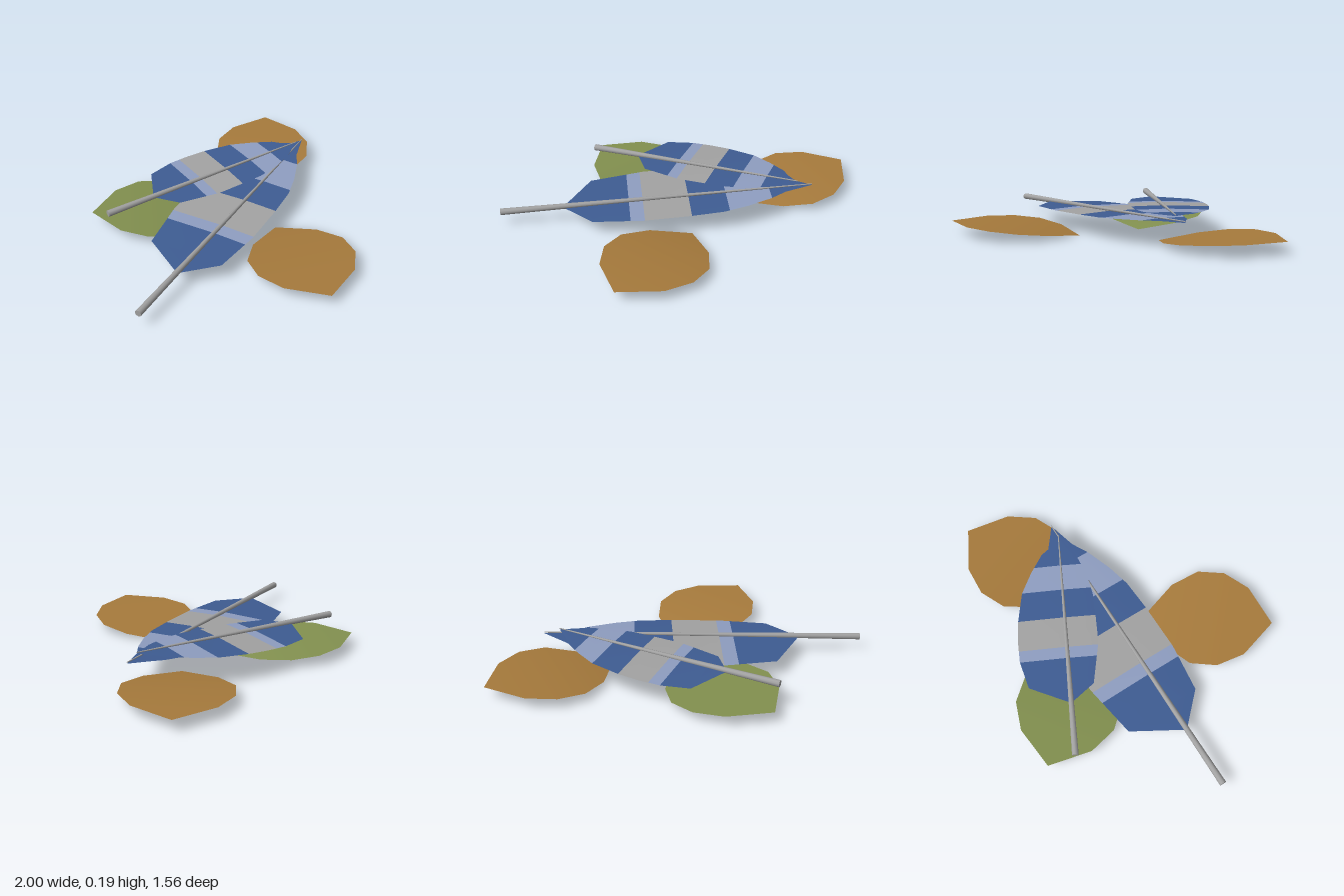
import * as THREE from 'three';

const paint = (name, color) => {
  const m = new THREE.MeshStandardMaterial({ color, side: THREE.DoubleSide });
  m.name = name;
  return m;
};

// Linear lookup in a list of [position, value] pairs
function lookup(table, s) {
  for (let i = 1; i < table.length; i++) {
    const [s0, w0] = table[i - 1], [s1, w1] = table[i];
    if (s <= s1) return w0 + (w1 - w0) * Math.max(0, (s - s0) / (s1 - s0));
  }
  return 0;
}

// Thin blade along an axis on the ground plan: one [left edge, middle, right edge] row per station
function blade(start, end, stations, leftEdge, rightEdge, height) {
  const dir = new THREE.Vector2(end[0] - start[0], end[1] - start[1]).normalize();
  const pos = [], index = [];
  stations.forEach((s, i) => {
    for (const e of [-lookup(leftEdge, s), 0, lookup(rightEdge, s)]) {
      pos.push(start[0] + dir.x * s - dir.y * e, height(s, e), start[1] + dir.y * s + dir.x * e);
    }
    if (i === 0) return;
    for (let j = 0; j < 2; j++) {
      const a = (i - 1) * 3 + j, c = i * 3 + j;
      index.push(a, a + 1, c, a + 1, c + 1, c);
    }
  });
  const g = new THREE.BufferGeometry();
  g.setAttribute('position', new THREE.Float32BufferAttribute(pos, 3));
  g.setIndex(index);
  g.computeVertexNormals();
  return g;
}

export function createModel() {
  const model = new THREE.Group();
  model.name = 'feathersAndLeaves';
  const brown = paint('leafBrown', 0xa67a3c);
  const green = paint('leafGreen', 0x82904f);
  const blue = paint('featherBlue', 0x3e5c92);
  const light = paint('featherLightBlue', 0x8e9dc0);
  const grey = paint('featherGrey', 0xa2a2a2);

  const add = (parent, name, geometry, material) => {
    const mesh = new THREE.Mesh(geometry, material);
    mesh.name = name;
    parent.add(mesh);
    return mesh;
  };

  // Leaves: the same outline, rising from the stem and flattening towards the tip
  const leafEdge = [[0, 0], [0.14, 0.195], [0.285, 0.287], [0.44, 0.287], [0.587, 0.206], [0.735, 0]];
  const leafHeight = (s) => 0.067 * (1 - Math.pow(Math.max(0, 1 - s / 0.735), 2.5));
  const leaves = [
    ['frontLeaf', [0.095, 0.135], [-0.275, 0.77], brown],
    ['leftLeaf', [0.39, -0.21], [0.997, -0.625], brown],
    ['backLeaf', [0.04, -0.25], [-0.52, -0.73], green],
  ];
  for (const [name, stem, tip, material] of leaves) {
    add(model, name, blade(stem, tip, leafEdge.map((p) => p[0]), leafEdge, leafEdge, leafHeight), material);
  }

  // Feathers: banded vane under a tapering quill
  const bandColours = [blue, light, grey, blue, light, blue];
  function feather({ name, butt, tip, buttY, tipY, left, right, cuts }) {
    const group = new THREE.Group();
    group.name = name;
    model.add(group);
    const length = Math.hypot(tip[0] - butt[0], tip[1] - butt[1]);
    const height = (s, e) => buttY + (tipY - buttY) * s / length - 0.007 - 0.03 * Math.abs(e);

    const all = [...left, ...right].map((p) => p[0]);
    const ends = [left[0][0], ...cuts, left[left.length - 1][0]];
    bandColours.forEach((material, i) => {
      const [s0, s1] = [ends[i], ends[i + 1]];
      const inside = all.filter((s) => s > s0 && s < s1);
      const stations = [...new Set([s0, ...inside, s1])].sort((a, b) => a - b);
      add(group, 'vaneBand' + (i + 1), blade(butt, tip, stations, left, right, height), material);
    });

    const from = new THREE.Vector3(butt[0], buttY, butt[1]);
    const to = new THREE.Vector3(tip[0], tipY, tip[1]);
    const axis = to.clone().sub(from);
    const quill = add(group, 'quill', new THREE.CylinderGeometry(0.003, 0.019, axis.length(), 10), grey);
    quill.position.copy(from).add(to).multiplyScalar(0.5);
    quill.quaternion.setFromUnitVectors(new THREE.Vector3(0, 1, 0), axis.normalize());
  }

  feather({
    name: 'longFeather', butt: [-0.998, 0.1], tip: [0.775, -0.167], buttY: 0.082, tipY: 0.163,
    left: [[0.352, 0], [0.517, 0.276], [0.829, 0.33], [0.95, 0.332], [1.07, 0.322], [1.312, 0.28],
      [1.484, 0.21], [1.639, 0.126], [1.68, 0.09], [1.793, 0]],
    right: [[0.352, 0], [0.52, 0.17], [0.8, 0.202], [1.073, 0.198], [1.257, 0.186], [1.394, 0.151],
      [1.538, 0.097], [1.632, 0.045], [1.793, 0]],
    cuts: [0.73, 0.81, 1.073, 1.289, 1.543],
  });
  feather({
    name: 'shortFeather', butt: [-0.54, -0.57], tip: [0.69, -0.156], buttY: 0.14, tipY: 0.186,
    left: [[0.291, 0], [0.398, 0.229], [0.553, 0.27], [0.673, 0.274], [0.792, 0.266], [0.961, 0.234],
      [1.081, 0.174], [1.189, 0.105], [1.219, 0.065], [1.298, 0]],
    right: [[0.291, 0], [0.393, 0.132], [0.63, 0.178], [0.802, 0.175], [0.922, 0.17], [1.041, 0.146],
      [1.171, 0.092], [1.298, 0]],
    cuts: [0.551, 0.616, 0.792, 0.961, 1.111],
  });

  return model;
}
